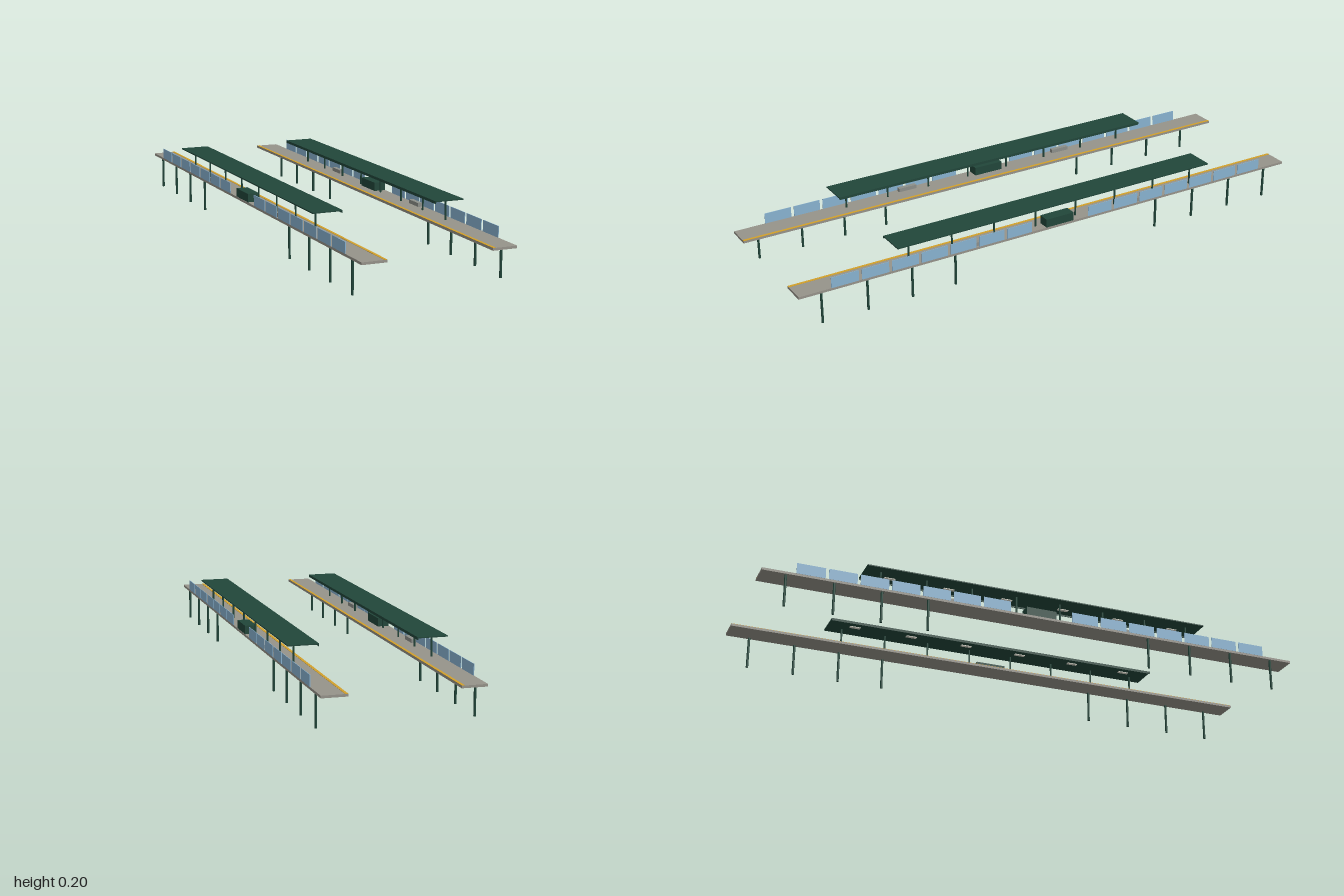
import * as THREE from 'three';

const material = (name, color) => {
  const m = new THREE.MeshStandardMaterial({ color });
  m.name = name;
  return m;
};

export function createModel() {
  const green = material('dark green paint', 0x21463a);
  const concrete = material('concrete', 0x96938a);
  const yellow = material('safety yellow', 0xd2a02c);
  const glass = material('blue glass', 0x88b2d0);
  const benchGrey = material('bench grey', 0x8c8f8a);
  const lamp = material('lamp white', 0xdedccf);

  const model = new THREE.Group();
  model.name = 'stationPlatforms';

  // Each side is laid out at +x; the other one mirrors the x positions.
  for (const side of [1, -1]) {
    const platform = new THREE.Group();
    platform.name = side > 0 ? 'leftPlatform' : 'rightPlatform';
    model.add(platform);

    const add = (name, geometry, mat, x, y, z) => {
      const mesh = new THREE.Mesh(geometry, mat);
      mesh.name = name;
      mesh.position.set(side * x, y, z);
      platform.add(mesh);
    };
    // Box given by its x, y and z ranges
    const box = (name, mat, x0, x1, y0, y1, z0, z1) =>
      add(name, new THREE.BoxGeometry(x1 - x0, y1 - y0, z1 - z0), mat,
        (x0 + x1) / 2, (y0 + y1) / 2, (z0 + z1) / 2);
    const post = (name, r, x, y0, y1, z) =>
      add(name, new THREE.CylinderGeometry(r, r, y1 - y0, 8), green, x, (y0 + y1) / 2, z);

    // Deck and warning strip along the track edge
    box('deck', concrete, 0.184, 0.271, 0.115, 0.1235, -1, 1);
    box('warningStrip', yellow, 0.184, 0.194, 0.1235, 0.1245, -1, 1);

    // Canopy with a lip on the track side
    box('canopyRoof', green, 0.169, 0.275, 0.2005, 0.2045, -0.64, 0.64);
    box('canopyLip', green, 0.169, 0.171, 0.195, 0.2005, -0.64, 0.64);

    // Lamps under the canopy
    for (let i = 0; i < 6; i++) {
      const z = (i - 2.5) * 0.2167;
      box('lamp', lamp, 0.2, 0.213, 0.198, 0.2005, z - 0.02, z + 0.02);
    }

    // Kiosk in the middle gap
    box('kiosk', green, 0.228, 0.27, 0.1235, 0.154, -0.056, 0.056);

    for (const end of [1, -1]) {
      for (const z of [0.417, 0.583, 0.75, 0.917]) post('leg', 0.0045, 0.262, 0, 0.115, end * z);
      for (const z of [0.083, 0.25, 0.417, 0.583]) post('canopyPost', 0.0035, 0.239, 0.1235, 0.2005, end * z);

      // Glass windbreak along the outer edge
      for (let i = 0; i < 7; i++) {
        const z = end * (0.1667 + i * 0.1111);
        box('glassPanel', glass, 0.2695, 0.2715, 0.1235, 0.162, z - 0.05, z + 0.05);
      }

      // Bench
      box('bench', benchGrey, 0.248, 0.264, 0.1235, 0.137, end * 0.33 - 0.035, end * 0.33 + 0.035);
    }
  }
  return model;
}
